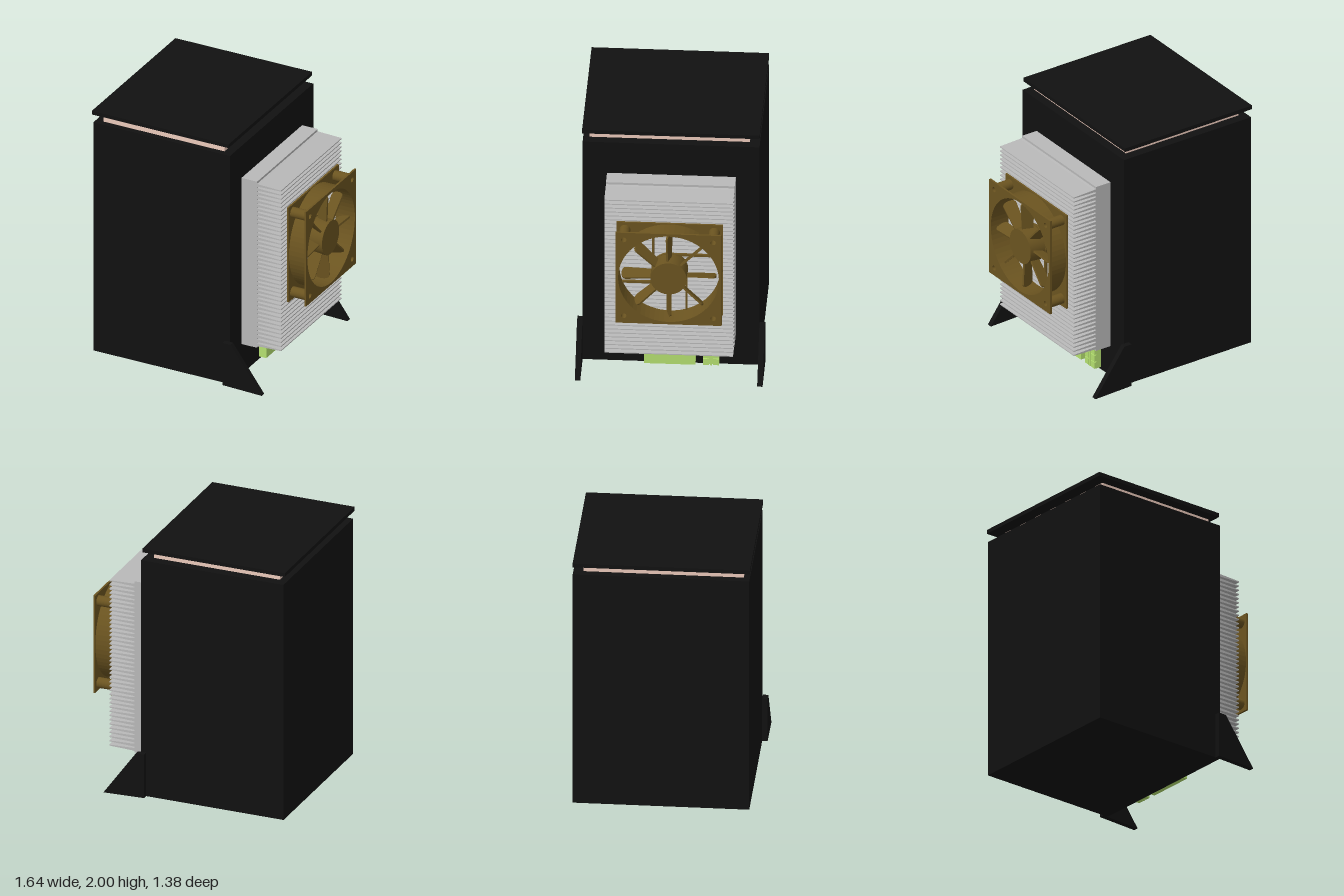
import * as THREE from 'three';

const mat = (color) => new THREE.MeshStandardMaterial({ color, side: THREE.DoubleSide });
const black = mat(0x111111), grey = mat(0xb8b8b8), brown = mat(0x6b5420);
const gold = mat(0xa87611), pink = mat(0xeccabb), green = mat(0xb4e070);

function add(parent, name, geometry, material) {
  const mesh = new THREE.Mesh(geometry, material);
  mesh.name = name;
  parent.add(mesh);
  return mesh;
}

// Box given by its limits on each axis
function block(parent, name, material, x0, x1, y0, y1, z0, z1) {
  const mesh = add(parent, name, new THREE.BoxGeometry(x1 - x0, y1 - y0, z1 - z0), material);
  mesh.position.set((x0 + x1) / 2, (y0 + y1) / 2, (z0 + z1) / 2);
  return mesh;
}

const polygon = (points) => new THREE.Shape(points.map(([x, y]) => new THREE.Vector2(x, y)));
const extrude = (shape, depth) =>
  new THREE.ExtrudeGeometry(shape, { depth, bevelEnabled: false, curveSegments: 32 });

function circleHole(x, y, r) {
  return new THREE.Path().absarc(x, y, r, 0, Math.PI * 2, true);
}

// Finned heat sink: a thick plate carrying tapered fins
function makeHeatSink() {
  const sink = new THREE.Group();
  sink.name = 'heatSink';
  block(sink, 'heatSinkBase', grey, 0.33, 0.46, 0.26, 1.64, -0.48, 0.47);
  const fin = extrude(polygon([
    [0.45, -0.014], [0.48, -0.01], [0.66, -0.004], [0.66, 0.004], [0.48, 0.01], [0.45, 0.014],
  ]), 0.95);
  const count = 40;
  for (let i = 0; i < count; i++) {
    add(sink, 'fin', fin, grey).position.set(0, 0.285 + (1.325 * i) / (count - 1), -0.48);
  }
  return sink;
}

// Axial fan, built along local z and then turned to face +x
function makeFan() {
  const fan = new THREE.Group();
  fan.name = 'fan';
  const half = 0.392, depth = 0.16, bolt = 0.33, corners = [-bolt, bolt];

  // Two square flanges with the air opening and bolt holes
  const plate = polygon([[-half, -half], [half, -half], [half, half], [-half, half]]);
  plate.holes.push(circleHole(0, 0, 0.372));
  for (const x of corners) for (const y of corners) plate.holes.push(circleHole(x, y, 0.02));
  const flange = extrude(plate, 0.015);
  add(fan, 'rearFlange', flange, brown);
  add(fan, 'frontFlange', flange, brown).position.z = depth - 0.015;

  // Round duct and hollow bolt posts between the flanges
  const duct = new THREE.Shape().absarc(0, 0, 0.388, 0, Math.PI * 2);
  duct.holes.push(circleHole(0, 0, 0.372));
  add(fan, 'duct', extrude(duct, depth - 0.03), brown).position.z = 0.015;
  const post = new THREE.Shape().absarc(0, 0, 0.04, 0, Math.PI * 2);
  post.holes.push(circleHole(0, 0, 0.02));
  const postGeometry = extrude(post, depth - 0.03);
  for (const x of corners) for (const y of corners) {
    add(fan, 'boltPost', postGeometry, brown).position.set(x, y, 0.015);
  }

  // Hub, motor seat and tangential struts
  const hub = add(fan, 'hub', new THREE.CylinderGeometry(0.135, 0.135, 0.13, 40), brown);
  hub.rotation.x = Math.PI / 2;
  hub.position.z = 0.09;
  const seat = add(fan, 'motorSeat', new THREE.CylinderGeometry(0.135, 0.135, 0.02, 40), brown);
  seat.rotation.x = Math.PI / 2;
  seat.position.z = 0.01;
  for (let i = 0; i < 4; i++) {
    const arm = new THREE.Group();
    arm.name = 'strutArm';
    arm.rotation.z = (i * Math.PI) / 2;
    block(arm, 'strut', brown, -0.131, -0.115, 0, 0.36, 0, 0.02);
    fan.add(arm);
  }

  // Eight pitched paddle blades with rounded tips
  const paddle = new THREE.Shape();
  paddle.moveTo(0.12, -0.042);
  paddle.lineTo(0.32, -0.052);
  paddle.quadraticCurveTo(0.35, -0.05, 0.35, 0);
  paddle.quadraticCurveTo(0.35, 0.05, 0.32, 0.052);
  paddle.lineTo(0.12, 0.042);
  const bladeGeometry = extrude(paddle, 0.014).translate(0, 0, -0.007);
  bladeGeometry.rotateX(Math.PI / 2 - 0.3);
  for (let i = 0; i < 8; i++) {
    const blade = add(fan, 'blade', bladeGeometry, brown);
    blade.rotation.z = (i * Math.PI) / 4;
    blade.position.z = 0.09;
  }

  fan.rotation.y = Math.PI / 2;
  fan.position.set(0.66, 1.04, -0.014);
  return fan;
}

// Terminal block: back plate, rows of cells and a central rib
function makeTerminal() {
  const terminal = new THREE.Group();
  terminal.name = 'terminalBlock';
  block(terminal, 'terminalBack', green, 0.33, 0.37, 0.03, 0.26, -0.36, -0.24);
  block(terminal, 'terminalRib', green, 0.36, 0.39, 0.03, 0.26, -0.308, -0.292);
  for (const z of [-0.36, -0.286]) for (let i = 0; i < 4; i++) {
    const y = 0.032 + i * 0.058;
    block(terminal, 'terminalCell', green, 0.36, 0.39, y, y + 0.052, z, z + 0.046);
  }
  return terminal;
}

export function createModel() {
  const model = new THREE.Group();
  model.name = 'cooledCabinet';

  // Cabinet with a raised lid over two stacked layers
  block(model, 'cabinet', black, -0.81, 0.33, 0.01, 1.905, -0.655, 0.65);
  block(model, 'spacer', pink, -0.75, 0.26, 1.9, 1.95, -0.58, 0.605);
  block(model, 'coolingLayer', gold, -0.56, 0.255, 1.95, 1.972, -0.44, 0.44);
  block(model, 'lid', black, -0.82, 0.32, 1.97, 2, -0.655, 0.655);

  model.add(makeHeatSink(), makeFan(), makeTerminal());
  block(model, 'powerSocket', green, 0.33, 0.39, 0.03, 0.225, -0.185, 0.195);

  // Sloping feet on both sides
  const foot = extrude(polygon([[0.29, 0.01], [0.615, 0], [0.355, 0.36], [0.29, 0.36]]), 0.04);
  add(model, 'leftFoot', foot, black).position.z = 0.65;
  add(model, 'rightFoot', foot, black).position.z = -0.695;
  return model;
}
